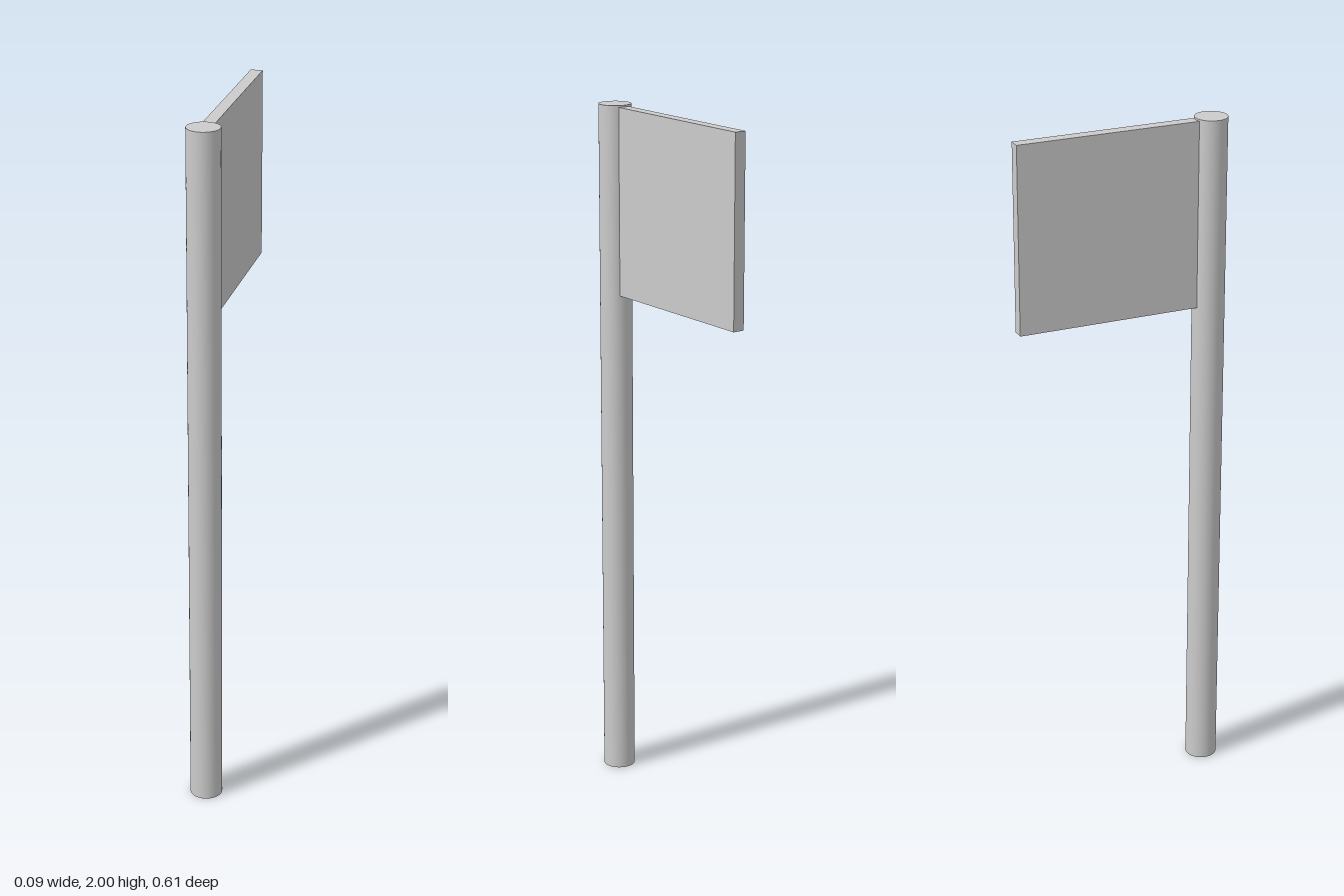
import * as THREE from 'three';

const POLE_RADIUS = 0.046;
const POLE_HEIGHT = 2;
const POLE_Z = 0.26;

export function createModel() {
  const model = new THREE.Group();
  model.name = 'flagOnPole';
  const material = new THREE.MeshStandardMaterial({ color: 0xcccccc });

  const addPart = (name, geometry, x, y, z) => {
    const mesh = new THREE.Mesh(geometry, material);
    mesh.name = name;
    mesh.position.set(x, y, z);
    model.add(mesh);
  };

  // Round upright pole with flat ends
  addPart('pole', new THREE.CylinderGeometry(POLE_RADIUS, POLE_RADIUS, POLE_HEIGHT, 48),
    0, POLE_HEIGHT / 2, POLE_Z);

  // Stiff flag panel, its inner edge sunk into the pole just below the top
  const top = 1.995, bottom = 1.46, inner = 0.225, outer = -0.307;
  addPart('flag', new THREE.BoxGeometry(0.034, top - bottom, inner - outer),
    0, (top + bottom) / 2, (inner + outer) / 2);

  return model;
}
